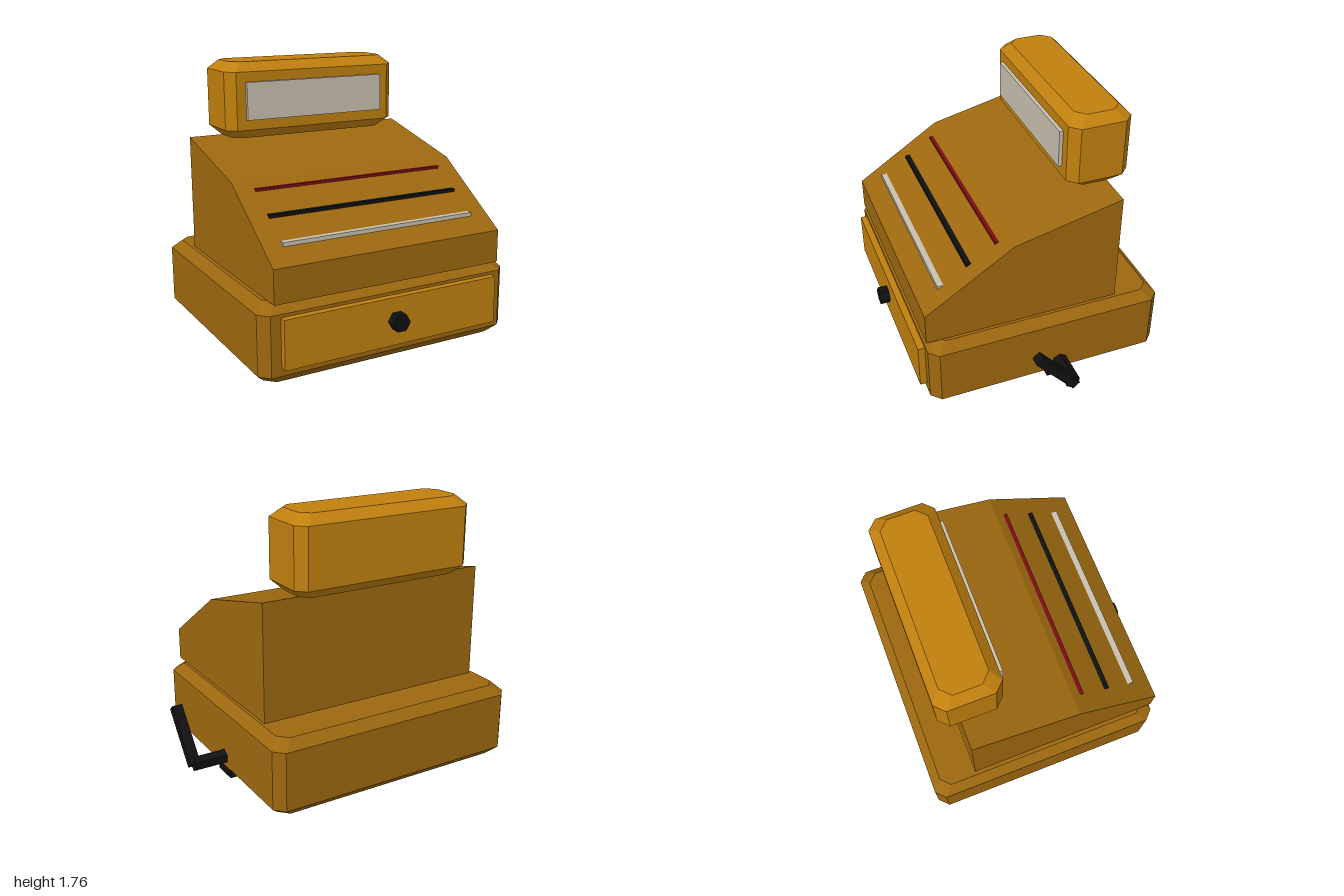
import * as THREE from 'three';
import { ConvexGeometry } from 'three/addons/geometries/ConvexGeometry.js';

const material = (name, color) => {
  const m = new THREE.MeshStandardMaterial({ color });
  m.name = name;
  return m;
};

// Box given by its limits, with every edge and corner cut by c
function chamferedBox(x0, x1, y0, y1, z0, z1, c) {
  const points = [];
  for (const [y, inset] of [[y0, c], [y0 + c, 0], [y1 - c, 0], [y1, c]]) {
    for (const [x, sx] of [[x0 + inset, 1], [x1 - inset, -1]]) {
      for (const [z, sz] of [[z0 + inset, 1], [z1 - inset, -1]]) {
        points.push(new THREE.Vector3(x + sx * c, y, z), new THREE.Vector3(x, y, z + sz * c));
      }
    }
  }
  return new ConvexGeometry(points);
}

// Plain box given by its limits
function box(x0, x1, y0, y1, z0, z1) {
  return new THREE.BoxGeometry(x1 - x0, y1 - y0, z1 - z0)
    .translate((x0 + x1) / 2, (y0 + y1) / 2, (z0 + z1) / 2);
}

// Six-sided rod along z
const hexRod = (radius, length) =>
  new THREE.CylinderGeometry(radius, radius, length, 6).toNonIndexed().rotateX(Math.PI / 2);

export function createModel() {
  const model = new THREE.Group();
  model.name = 'cashRegister';
  const brown = material('brown', 0x9d680f);
  const gold = material('gold', 0xc1800e);
  const cream = material('cream', 0xc8c1af);
  const black = material('black', 0x101010);
  const red = material('darkRed', 0x7a0c12);
  black.flatShading = true;

  const add = (name, geometry, mat) => {
    const mesh = new THREE.Mesh(geometry, mat);
    mesh.name = name;
    model.add(mesh);
    return mesh;
  };

  // Base with its drawer front and knob
  add('base', chamferedBox(-1, 0.75, 0, 0.5, -0.85, 0.74, 0.06), brown);
  add('drawerFront', box(-0.875, 0.625, 0.11, 0.42, 0.7, 0.785), gold);
  const knob = add('drawerKnob', hexRod(0.06, 0.09), black);
  knob.rotation.z = Math.PI / 2;
  knob.position.set(-0.125, 0.272, 0.805);

  // Sloping body, extruded across the width from its side profile
  const profile = [[0.74, 0.5], [0.74, 0.713], [0.16, 1.09], [-0.55, 1.257], [-0.55, 0.5]];
  const side = new THREE.Shape(profile.map(([z, y]) => new THREE.Vector2(-z, y)));
  const body = new THREE.ExtrudeGeometry(side, { depth: 1.585, bevelEnabled: false });
  add('body', body.rotateY(Math.PI / 2).translate(-0.915, 0, 0), brown);

  // Key rows standing out of the slope
  for (const [name, mat, top, front, depth] of [
    ['upperKeyRow', red, 1.055, 0.24, 0.06],
    ['middleKeyRow', black, 0.937, 0.428, 0.06],
    ['lowerKeyRow', cream, 0.819, 0.616, 0.08],
  ]) add(name, box(-0.792, 0.545, top - 0.06, top, front - depth, front), mat);

  // Display on top
  add('displayCase', chamferedBox(-0.75, 0.5, 1.26, 1.76, -0.68, -0.264, 0.06), gold);
  add('displayPanel', box(-0.625, 0.375, 1.388, 1.635, -0.3, -0.24), cream);

  // Crank on the left side: mount, axle and slanted arm
  add('crankMount', box(0.69, 0.75, 0.001, 0.061, -0.22, -0.05), black);
  const axle = add('crankAxle', hexRod(0.05, 0.265), black);
  axle.rotation.y = Math.PI / 2;
  axle.position.set(0.8325, 0.123, -0.136);
  const arm = add('crankArm', new THREE.BoxGeometry(0.066, 0.4, 0.06), black);
  arm.position.set(0.964, 0.271, -0.014);
  arm.rotation.x = Math.atan2(0.262, 0.302);

  return model;
}
